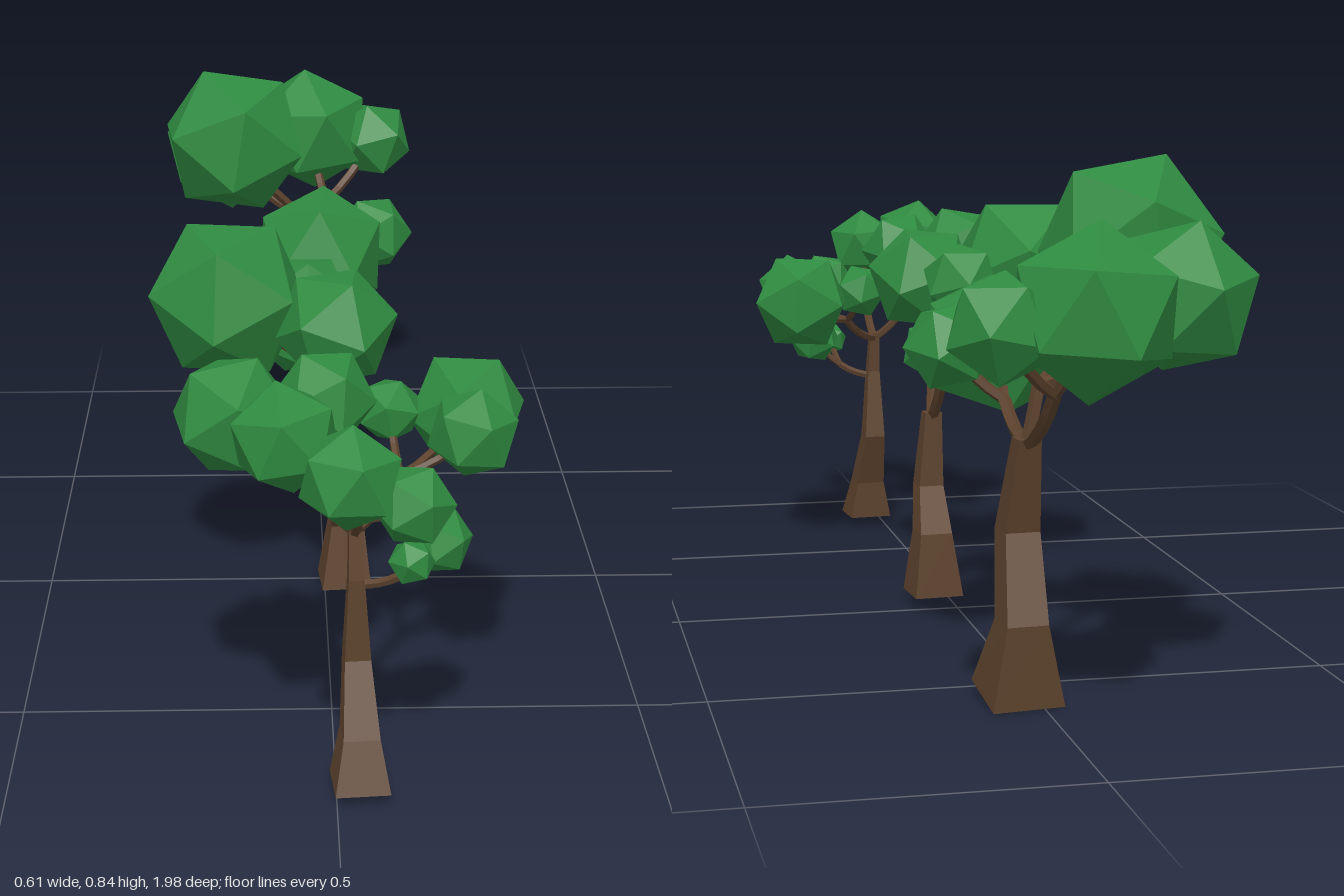
import * as THREE from 'three';

const bark = new THREE.MeshStandardMaterial({ color: 0x5e432e, flatShading: true });
bark.name = 'bark brown';
const leaf = new THREE.MeshStandardMaterial({ color: 0x2f8a40, flatShading: true });
leaf.name = 'leaf green';

function add(group, geometry, material, name) {
  const mesh = new THREE.Mesh(geometry, material);
  mesh.name = name;
  group.add(mesh);
  return mesh;
}

// Bent square trunk: a capped four-sided cylinder whose rings move onto sections [x, y, z, width]
function addTrunk(tree, rings, tilt) {
  const n = rings.length - 1;
  const geo = new THREE.CylinderGeometry(Math.SQRT1_2, Math.SQRT1_2, n, 4, n).rotateY(Math.PI / 4 + 0.08);
  const p = geo.attributes.position;
  for (let i = 0; i < p.count; i++) {
    const k = Math.round(p.getY(i) + n / 2);
    const [x, y, z, w] = rings[k];
    const dz = p.getZ(i) * w;
    p.setXYZ(i, x + p.getX(i) * w, y + (k === 0 ? dz * tilt : 0), z + dz);
  }
  geo.computeVertexNormals();
  add(tree, geo, bark, 'trunk');
}

// Five-sided branch that leaves its start sideways and then bends upwards
function addBranch(tree, from, to, radius, name) {
  const bend = from.clone().lerp(to, 0.55);
  bend.y -= 0.15 * from.distanceTo(to);
  const curve = new THREE.QuadraticBezierCurve3(from, bend, to);
  add(tree, new THREE.TubeGeometry(curve, 4, radius, 5), bark, name);
}

// One bough from the fork to its hub, then a twig and a faceted leaf clump [x, y, z, radius] each
function addBough(tree, fork, hub, clumps, radius) {
  const start = new THREE.Vector3(...fork);
  const end = new THREE.Vector3(...hub);
  addBranch(tree, start, end, radius, 'bough');
  clumps.forEach(([x, y, z, r], i) => {
    addBranch(tree, end, new THREE.Vector3(x, y, z), radius * 0.85, 'twig');
    const clump = add(tree, new THREE.IcosahedronGeometry(r, 0), leaf, 'leafClump');
    clump.position.set(x, y, z);
    clump.rotation.set(0.4 + i * 1.3 + x * 9, i * 2.1 + z * 5, 0.3 + i * 0.7);
  });
}

function largeTree() {
  const tree = new THREE.Group();
  tree.name = 'largeTree';
  const fork = [0.022, 0.41, -0.61];
  addTrunk(tree, [[0.03, 0.018, -0.593, 0.115], [0.033, 0.14, -0.628, 0.066], [0.025, 0.27, -0.565, 0.056], [0.022, 0.42, -0.61, 0.036]], 0.2);
  addBough(tree, fork, [0.02, 0.51, -0.77], [[-0.01, 0.64, -0.875, 0.13], [0.12, 0.62, -0.865, 0.085]], 0.011);
  addBough(tree, fork, [0.005, 0.5, -0.615], [[-0.19, 0.64, -0.7, 0.12], [-0.165, 0.705, -0.515, 0.148]], 0.011);
  addBough(tree, fork, [0.02, 0.455, -0.45], [[0, 0.53, -0.33, 0.13], [0.105, 0.54, -0.43, 0.075]], 0.011);
  return tree;
}

function middleTree() {
  const tree = new THREE.Group();
  tree.name = 'middleTree';
  const fork = [0.028, 0.34, 0.094];
  addTrunk(tree, [[0.035, 0.025, 0.047, 0.088], [0.038, 0.14, 0.04, 0.058], [0.033, 0.215, 0.102, 0.045], [0.028, 0.35, 0.094, 0.03]], 0);
  addBough(tree, fork, [0.012, 0.47, 0.16], [[-0.165, 0.605, 0.175, 0.142], [0.013, 0.58, 0.255, 0.104], [-0.03, 0.585, 0.105, 0.075]], 0.01);
  addBough(tree, fork, [0.025, 0.43, 0.005], [[-0.05, 0.475, -0.038, 0.08], [0.055, 0.485, -0.065, 0.058]], 0.01);
  return tree;
}

function smallTree() {
  const tree = new THREE.Group();
  tree.name = 'smallTree';
  const fork = [0.028, 0.41, 0.705];
  addTrunk(tree, [[0.036, 0.025, 0.77, 0.084], [0.036, 0.1, 0.75, 0.056], [0.032, 0.205, 0.702, 0.04], [0.03, 0.34, 0.714, 0.024], [0.028, 0.42, 0.705, 0.018]], 0);
  addBough(tree, [0.03, 0.33, 0.714], [0.095, 0.352, 0.735], [[0.15, 0.41, 0.735, 0.054], [0.108, 0.4, 0.79, 0.036]], 0.007);
  addBough(tree, fork, [0.1, 0.46, 0.61], [[0.212, 0.515, 0.472, 0.098], [0.21, 0.525, 0.6, 0.072], [0.088, 0.53, 0.51, 0.053]], 0.008);
  addBough(tree, fork, [-0.03, 0.47, 0.685], [[-0.15, 0.59, 0.685, 0.096], [-0.1, 0.54, 0.565, 0.056], [-0.015, 0.6, 0.645, 0.078]], 0.008);
  addBough(tree, fork, [0.03, 0.47, 0.79], [[-0.075, 0.605, 0.815, 0.084], [0.013, 0.585, 0.92, 0.077], [0.105, 0.515, 0.85, 0.062]], 0.008);
  return tree;
}

export function createModel() {
  const model = new THREE.Group();
  model.name = 'treeRow';
  model.add(largeTree(), middleTree(), smallTree());
  return model;
}
